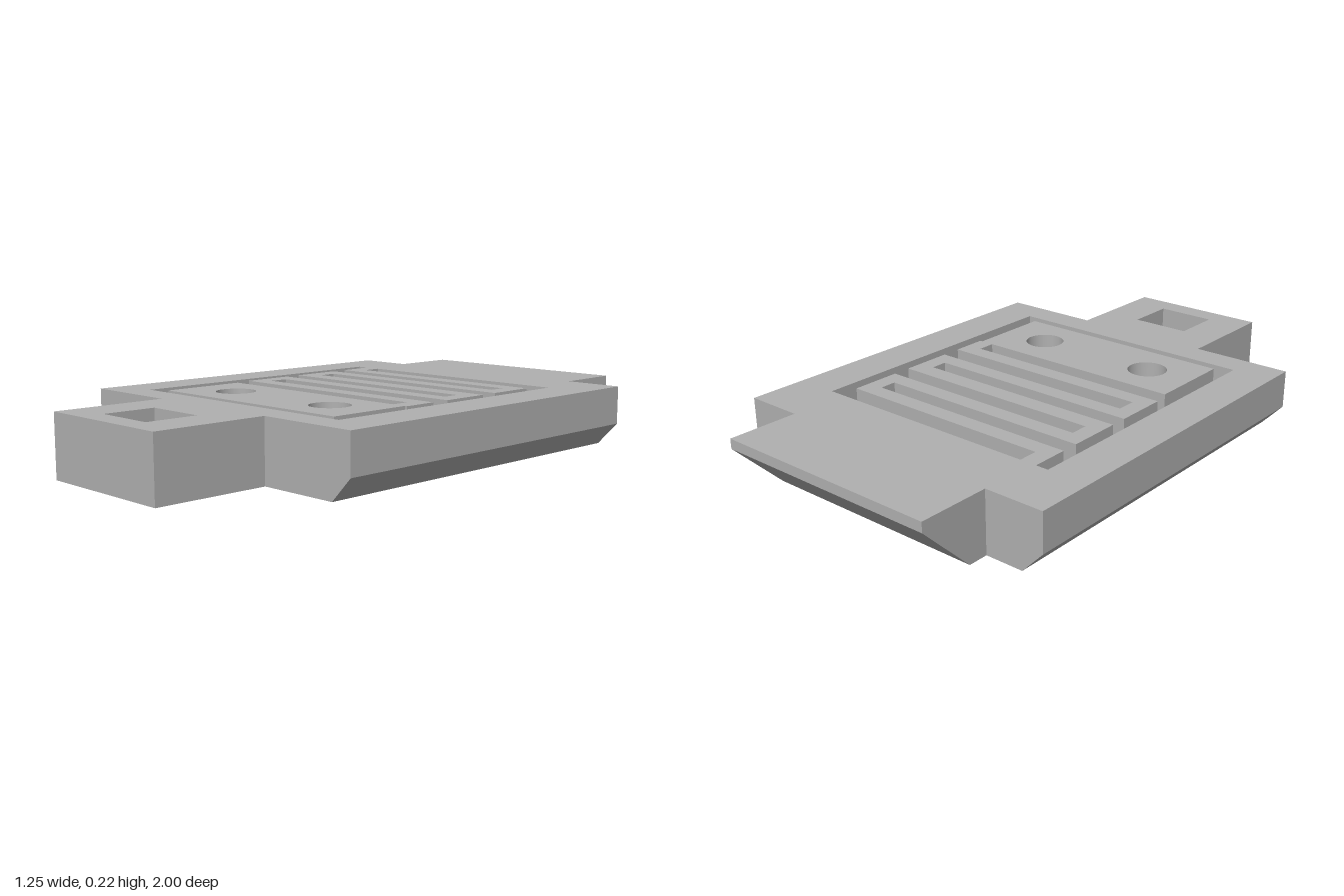
import * as THREE from 'three';

const H = 0.215; // plate thickness

const polygon = (points, Type = THREE.Shape) =>
  new Type(points.map(([x, y]) => new THREE.Vector2(x, y)));

const rectangle = (x, z0, z1) => [[-x, z0], [x, z0], [x, z1], [-x, z1]];

// Single gap that cuts the zigzag spring and its end plate free from the frame
function springGap() {
  const left = [[-0.415, -0.355], [-0.165, -0.105], [0.085, 0.15]];
  const right = [[0.025, -0.045], [-0.23, -0.295], [-0.475, -0.545]];
  const points = [[-0.475, -0.545], [-0.43, -0.545]];
  left.forEach(([a, b], i) => {
    points.push([-0.43, a], [0.365, a], [0.365, b], [i < 2 ? -0.43 : -0.415, b]);
  });
  points.push([-0.415, 0.46], [0.415, 0.46], [0.415, 0.15], [0.425, 0.15]);
  right.forEach(([a, b], i) => {
    points.push([0.425, a], [-0.37, a], [-0.37, b], [i < 2 ? 0.425 : 0.47, b]);
  });
  points.push([0.47, 0.495], [-0.475, 0.495]);
  return polygon(points, THREE.Path);
}

export function createModel() {
  const group = new THREE.Group();
  const grey = new THREE.MeshStandardMaterial({ color: 0xb0b0b0 });
  grey.name = 'grey';

  const add = (name, geometry) => {
    const mesh = new THREE.Mesh(geometry, grey);
    mesh.name = name;
    group.add(mesh);
  };
  const extrude = (shape, depth) =>
    new THREE.ExtrudeGeometry(shape, { depth, bevelEnabled: false, curveSegments: 48 });

  // Frame, front tab, spring and end plate in one plan outline
  const plan = polygon([
    [-0.55, -0.75], [0.55, -0.75], [0.55, 0.6], [0.26, 0.6],
    [0.26, 1], [-0.26, 1], [-0.26, 0.6], [-0.55, 0.6],
  ]);
  plan.holes.push(springGap(), polygon(rectangle(0.11, 0.735, 0.92), THREE.Path));
  for (const x of [-0.235, 0.235]) {
    plan.holes.push(new THREE.Path().absarc(x, 0.305, 0.07, 0, Math.PI * 2, true));
  }
  add('frameAndSpring', extrude(plan, H).rotateX(Math.PI / 2).translate(0, H, 0));

  // Side edges, chamfered underneath
  for (const s of [-1, 1]) {
    const edge = polygon([[s * 0.55, 0], [s * 0.625, 0.08], [s * 0.625, H], [s * 0.55, H]]);
    add(s > 0 ? 'leftEdge' : 'rightEdge', extrude(edge, 1.35).translate(0, 0, -0.75));
  }

  // Back tab with a sloping underside
  const tab = polygon([[-0.75, 0], [-0.75, H], [-1, H], [-1, 0.18], [-0.82, 0]]);
  add('backTab', extrude(tab, 0.83).rotateY(-Math.PI / 2).translate(0.415, 0, 0));

  return group;
}
